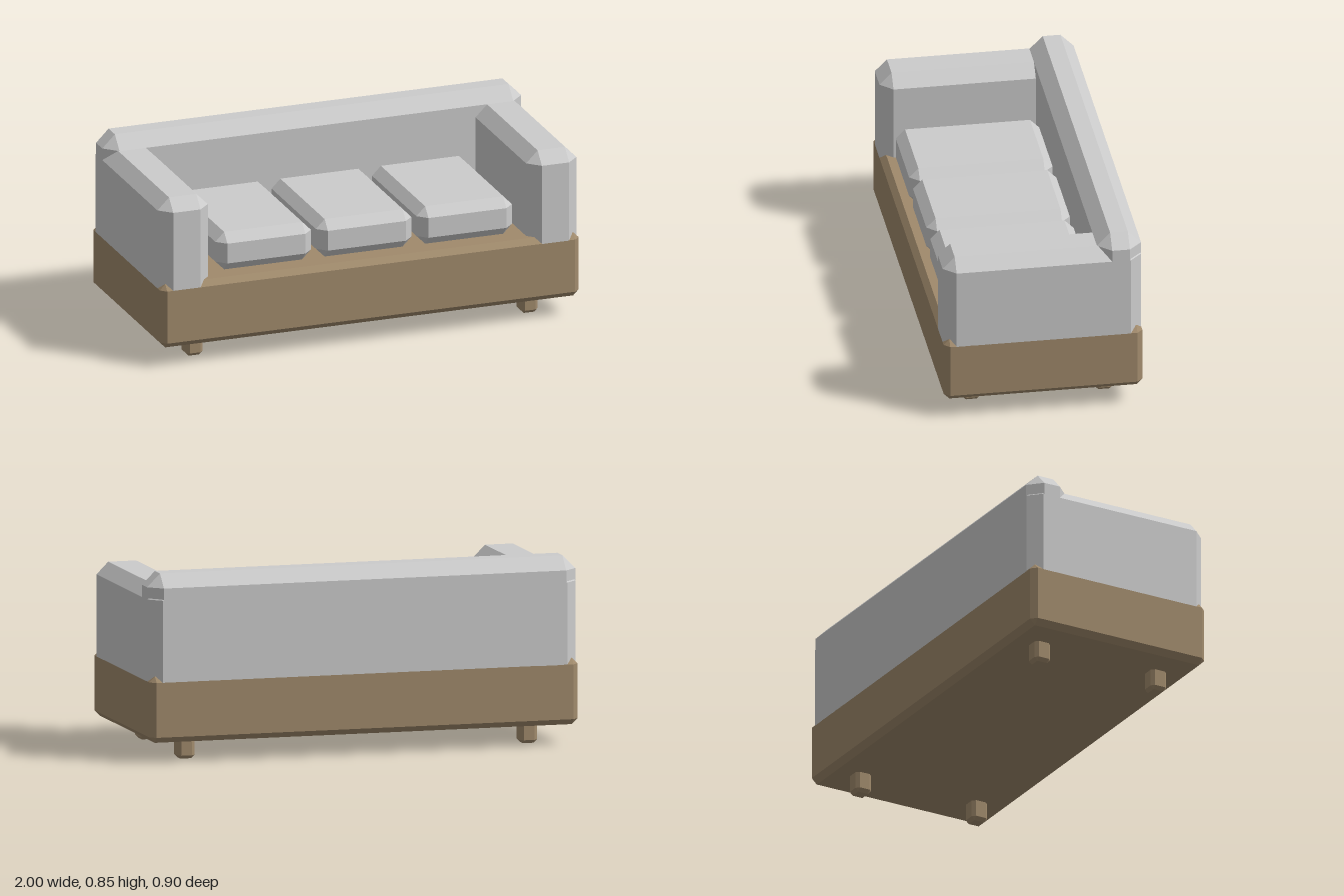
import * as THREE from 'three';
import { ConvexGeometry } from 'three/addons/geometries/ConvexGeometry.js';

const fabric = new THREE.MeshStandardMaterial({ color: 0xcccccc, flatShading: true });
const wood = new THREE.MeshStandardMaterial({ color: 0xa08a6c, flatShading: true });

// Box between two corners with every edge and corner chamfered by b
function chamferBox(name, material, min, max, b) {
  const half = max.map((v, i) => (v - min[i]) / 2);
  const points = [];
  for (const sx of [-1, 1]) for (const sy of [-1, 1]) for (const sz of [-1, 1]) {
    for (let axis = 0; axis < 3; axis++) {
      const p = [sx, sy, sz].map((s, i) => s * (half[i] - (i === axis ? 0 : b)));
      points.push(new THREE.Vector3(...p));
    }
  }
  const mesh = new THREE.Mesh(new ConvexGeometry(points), material);
  mesh.position.set(...max.map((v, i) => (v + min[i]) / 2));
  mesh.name = name;
  return mesh;
}

export function createModel() {
  const sofa = new THREE.Group();
  sofa.name = 'sofa';

  // Wooden base and backrest
  sofa.add(chamferBox('base', wood, [-1, 0.092, -0.45], [1, 0.392, 0.45], 0.026));
  sofa.add(chamferBox('backrest', fabric, [-1, 0.305, -0.45], [1, 0.852, -0.25], 0.06));

  // Armrests and legs, mirrored
  for (const side of [-1, 1]) {
    const label = side > 0 ? 'left' : 'right';
    const arm = chamferBox(label + 'Armrest', fabric, [-0.12, 0.31, -0.45], [0.12, 0.792, 0.45], 0.055);
    arm.position.x = side * 0.88;
    sofa.add(arm);
    for (const end of [-1, 1]) {
      const leg = chamferBox(label + (end > 0 ? 'Front' : 'Back') + 'Leg', wood,
        [-0.04, 0, -0.04], [0.04, 0.14, 0.04], 0.015);
      leg.position.x = side * 0.8;
      leg.position.z = end * 0.3;
      sofa.add(leg);
    }
  }

  // Three seat cushions
  for (let i = -1; i <= 1; i++) {
    const x = i * 0.48 - 0.002;
    sofa.add(chamferBox('seatCushion', fabric, [x - 0.228, 0.402, -0.25], [x + 0.228, 0.58, 0.4], 0.042));
  }
  return sofa;
}
